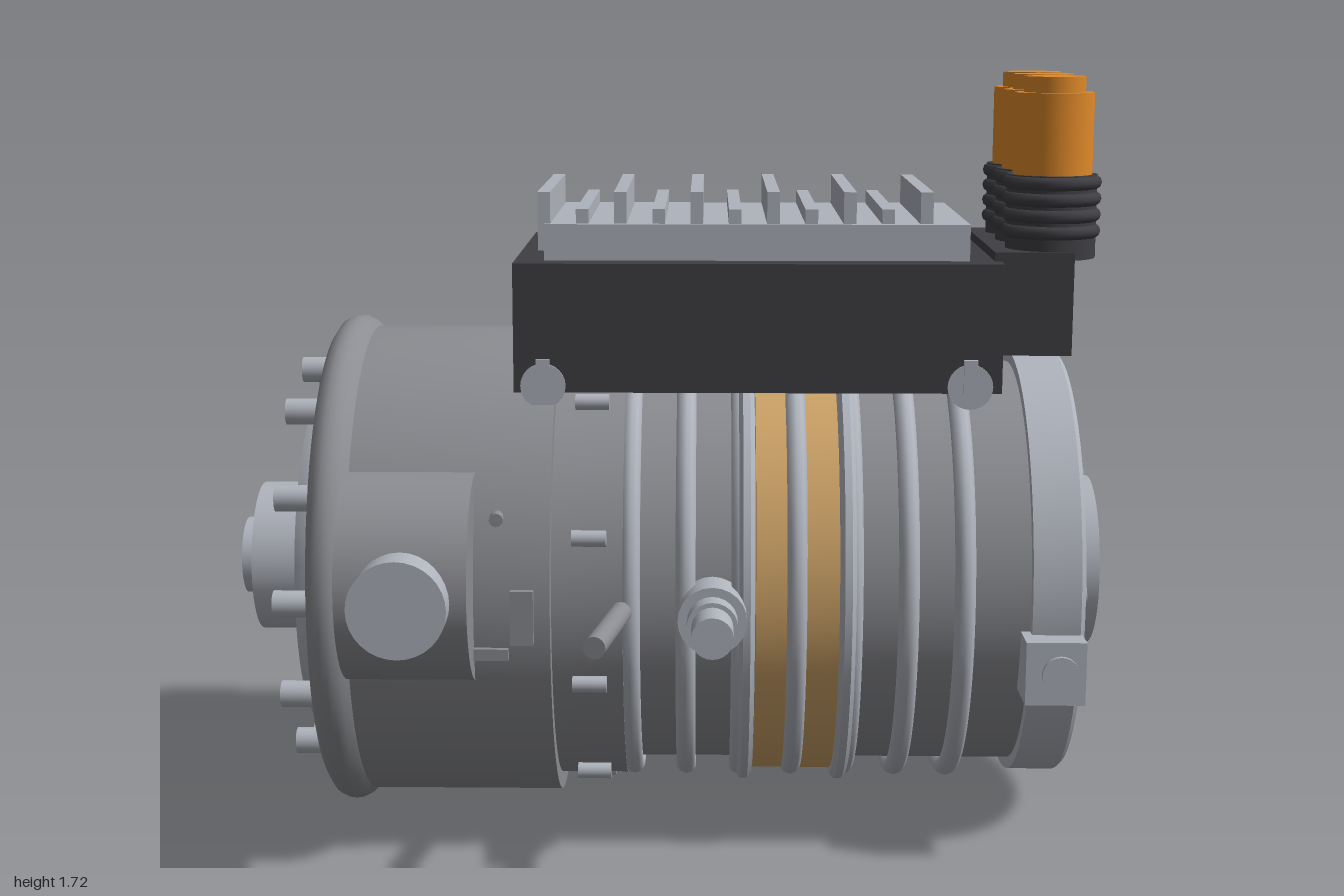
import * as THREE from 'three';
import { toCreasedNormals } from 'three/addons/utils/BufferGeometryUtils.js';

const CY = 0.58, CZ = -0.02; // main axis, running along x

export function createModel() {
  const root = new THREE.Group();
  root.name = 'electricMotor';
  const mat = (name, color) => {
    const m = new THREE.MeshStandardMaterial({ color });
    m.name = name;
    return m;
  };
  const light = mat('light metal', 0xafb3bc);
  const grey = mat('cast grey', 0x8c8d92);
  const dark = mat('dark plastic', 0x3f3e43);
  const orange = mat('orange plug', 0xe08a2a);
  const copper = mat('copper winding', 0xcfa468);

  const add = (name, geo, material, x, y, z) => {
    const m = new THREE.Mesh(geo, material);
    m.name = name;
    m.position.set(x, y, z);
    root.add(m);
    return m;
  };
  const box = (name, m, x0, x1, y0, y1, z0, z1) => add(name,
    new THREE.BoxGeometry(x1 - x0, y1 - y0, z1 - z0), m, (x0 + x1) / 2, (y0 + y1) / 2, (z0 + z1) / 2);
  // cylinder along x / y / z between two coordinates
  const cylX = (name, m, r, x0, x1, y = CY, z = CZ, n = 24) => {
    const c = add(name, new THREE.CylinderGeometry(r, r, x1 - x0, n), m, (x0 + x1) / 2, y, z);
    c.rotation.z = -Math.PI / 2;
    return c;
  };
  const cylY = (name, m, r, y0, y1, x, z, n = 32) =>
    add(name, new THREE.CylinderGeometry(r, r, y1 - y0, n), m, x, (y0 + y1) / 2, z);
  const cylZ = (name, m, r, z0, z1, x, y, n = 24) => {
    const c = add(name, new THREE.CylinderGeometry(r, r, z1 - z0, n), m, x, y, (z0 + z1) / 2);
    c.rotation.x = Math.PI / 2;
    return c;
  };
  // turned part about the main axis, points are [radius, x]
  const turned = (name, m, pts) => {
    const g = new THREE.LatheGeometry(pts.map(p => new THREE.Vector2(p[0], p[1])), 72);
    const t = add(name, toCreasedNormals(g, 0.6), m, 0, CY, CZ);
    t.rotation.z = -Math.PI / 2;
    return t;
  };
  const boltCircle = (name, m, count, R, r, x0, x1) => {
    for (let i = 0; i < count; i++) {
      const a = Math.PI / 2 + i * 2 * Math.PI / count;
      cylX(name, m, r, x0, x1, CY + R * Math.sin(a), CZ + R * Math.cos(a), 16);
    }
  };

  // bell housing with rounded flange
  turned('bellHousing', grey, [[0, -0.765], [0.54, -0.765], [0.55, -0.69], [0.55, -0.24], [0, -0.24]]);
  turned('bellFlange', grey, [[0.5, -0.77], [0.545, -0.768], [0.565, -0.755], [0.574, -0.737], [0.575, -0.725],
    [0.574, -0.713], [0.565, -0.695], [0.55, -0.68], [0.5, -0.68]]);
  turned('driveCover', light, [[0, -0.82], [0.39, -0.82], [0.42, -0.77], [0.42, -0.75], [0, -0.75]]);
  boltCircle('coverBolt', light, 12, 0.45, 0.03, -0.855, -0.75);
  cylX('driveHub', light, 0.175, -0.96, -0.8, CY, CZ, 48);
  cylX('driveShaft', light, 0.09, -1, -0.95, CY, CZ, 32);

  // stator body, joint ring, ribs and copper bands
  turned('statorBody', grey, [[0, -0.25], [0.51, -0.25], [0.51, -0.085], [0.47, -0.085], [0.47, 0.83], [0, 0.83]]);
  boltCircle('jointBolt', light, 10, 0.53, 0.018, -0.195, -0.12);
  turned('copperBand', copper, [[0.46, 0.205], [0.497, 0.205], [0.497, 0.39], [0.46, 0.39]]);
  for (let i = 0; i < 7; i++) {
    const ring = add('coolingRib', new THREE.TorusGeometry(0.49, 0.023, 10, 72), light, -0.07 + i * 0.1215, CY, CZ);
    ring.rotation.y = Math.PI / 2;
  }
  for (const x of [0.185, 0.405])
    turned('bandClamp', light, [[0.46, x - 0.018], [0.51, x - 0.018], [0.523, x - 0.008], [0.523, x + 0.008],
      [0.51, x + 0.018], [0.46, x + 0.018]]);

  // end cap
  turned('endCap', light, [[0, 0.805], [0.497, 0.805], [0.497, 0.91], [0.488, 0.92], [0, 0.92]]);
  boltCircle('endBolt', light, 8, 0.35, 0.028, 0.9, 0.942);
  cylX('endBoss', light, 0.198, 0.9, 1, CY, CZ, 48);
  box('frontPort', light, 0.785, 0.915, 0.39, 0.53, 0.4, 0.535);
  cylZ('frontPortPlug', light, 0.04, 0.52, 0.545, 0.86, 0.46);
  box('backPort', light, 0.79, 0.935, 0.39, 0.53, -0.57, -0.44);
  cylZ('backPortPlug', light, 0.05, -0.605, -0.56, 0.86, 0.46);

  // side housing on the bell, with its nub and small tabs
  cylX('sideHousing', grey, 0.23, -0.685, -0.405, 0.65, 0.435, 48);
  cylZ('sideNub', light, 0.105, 0.5, 0.725, -0.545, 0.645, 32);
  box('sideTab', grey, -0.325, -0.275, 0.52, 0.64, 0.42, 0.545);
  box('sideLedge', grey, -0.41, -0.33, 0.485, 0.51, 0.42, 0.54);
  cylZ('sidePin', grey, 0.015, 0.42, 0.515, -0.355, 0.79, 12);

  // front fitting and angled sensor rod
  for (const [r, z0, z1] of [[0.075, 0.42, 0.54], [0.055, 0.52, 0.59], [0.045, 0.57, 0.675]])
    cylZ('frontFitting', light, r, z0, z1, 0.11, 0.575);
  const rod = cylZ('sensorRod', grey, 0.024, 0.44, 0.765, -0.107, CY, 16);
  rod.rotation.set(Math.PI / 2, 0, 0.16);

  // back fittings
  box('backFitting', light, -0.065, 0.095, 0.275, 0.395, -0.64, -0.42);
  cylZ('backFittingPlug', light, 0.047, -0.675, -0.62, 0.015, 0.335);
  cylZ('bellFitting', light, 0.06, -0.665, -0.5, -0.545, 0.46);
  cylZ('bellFittingTip', light, 0.038, -0.765, -0.65, -0.545, 0.46);

  // control box with mounting feet
  box('controlBox', dark, -0.33, 0.745, 1.035, 1.32, -0.38, 0.32);
  box('plugHousing', dark, 0.73, 0.905, 1.11, 1.34, -0.305, 0.255);
  for (const x of [-0.265, 0.675]) for (const s of [-1, 1]) {
    const z = -0.03 + s * 0.305;
    cylZ('mountFoot', light, 0.05, z - 0.05, z + 0.05, x, 1.05);
    box('mountClip', light, x - 0.015, x + 0.015, 1.02, 1.11, -0.03 + s * 0.345 - 0.015, -0.03 + s * 0.345 + 0.015);
  }

  // heat sink with alternating fins
  box('heatSink', light, -0.265, 0.675, 1.31, 1.4, -0.315, 0.255);
  for (let i = 0; i < 11; i++) {
    const x = -0.265 + i * 0.0845;
    box('heatSinkFin', light, x - 0.014, x + 0.014, i ? 1.38 : 1.34, i % 2 ? 1.432 : 1.47, -0.3, 0.24);
  }

  // power plugs with ribbed sleeves
  for (const z of [-0.21, -0.03, 0.15]) {
    cylY('plugSleeve', dark, 0.1, 1.32, 1.505, 0.865, z);
    for (let i = 0; i < 4; i++) {
      const ring = add('sleeveRing', new THREE.TorusGeometry(0.094, 0.016, 10, 36), dark, 0.865, 1.38 + i * 0.036, z);
      ring.rotation.x = Math.PI / 2;
    }
    cylY('plugBody', orange, 0.088, 1.49, 1.685, 0.865, z);
    cylY('plugCap', orange, 0.068, 1.67, 1.72, 0.865, z);
  }
  return root;
}
